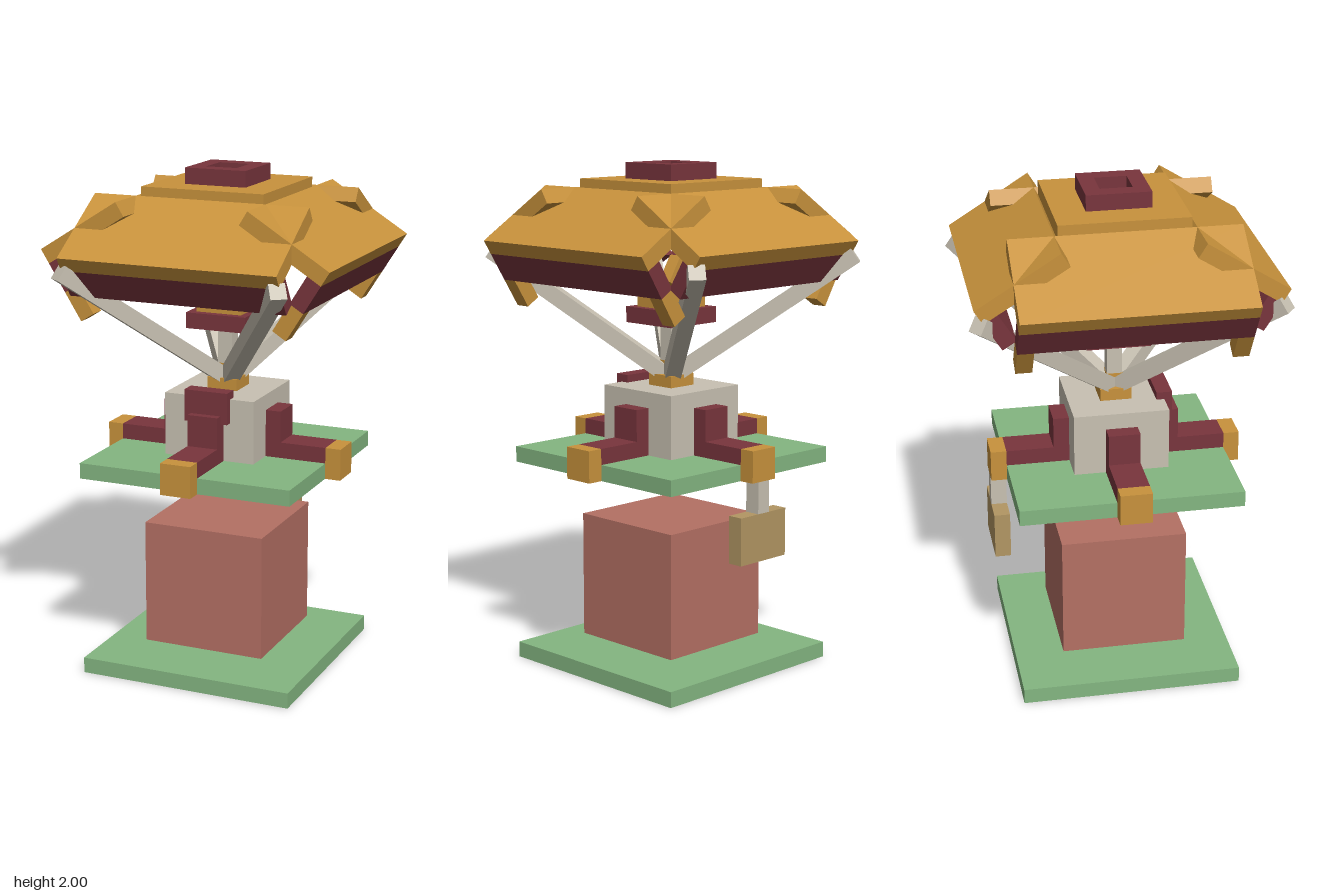
import * as THREE from 'three';

const mat = (name, color) => {
  const m = new THREE.MeshStandardMaterial({ color });
  m.name = name;
  return m;
};

export function createModel() {
  const model = new THREE.Group();
  model.name = 'roofedStand';
  const orange = mat('orange', 0xc8923c);
  const maroon = mat('maroon', 0x79353d);
  const green = mat('green', 0x84b681);
  const red = mat('dusty red', 0xb47064);
  const stone = mat('pale stone', 0xc8c1b2);
  const tan = mat('tan', 0xb29663);

  // Box given by its size and centre
  const box = (parent, name, m, [w, h, d], [x, y, z]) => {
    const mesh = new THREE.Mesh(new THREE.BoxGeometry(w, h, d), m);
    mesh.name = name;
    mesh.position.set(x, y, z);
    parent.add(mesh);
    return mesh;
  };
  // Square block centred on the vertical axis
  const block = (name, m, w, y0, y1) =>
    box(model, name, m, [w, y1 - y0, w], [0, (y0 + y1) / 2, 0]);

  // Central stack
  block('basePlate', green, 0.875, 0, 0.0625);
  block('lowerCube', red, 0.5, 0.1, 0.6);
  block('middlePlate', green, 0.875, 0.8125, 0.875);
  block('core', stone, 0.375, 0.875, 1.125);
  block('collar', orange, 0.125, 1.125, 1.172);
  block('collarTop', orange, 0.0625, 1.172, 1.225);
  block('stem', stone, 0.06, 1.225, 1.375);
  block('lampBase', maroon, 0.25, 1.375, 1.4375);
  block('lampTop', orange, 0.1875, 1.4375, 1.5);

  // Block on the front of the core, and the sign hanging at the back
  box(model, 'frontBlock', maroon, [0.18, 0.125, 0.0625], [0, 1.0925, 0.1875]);
  box(model, 'signHanger', stone, [0.06, 0.125, 0.0625], [0, 0.75, -0.46875]);
  box(model, 'sign', tan, [0.25, 0.1875, 0.0625], [0, 0.594, -0.46875]);

  const slope = THREE.MathUtils.degToRad(32);
  for (let i = 0; i < 4; i++) {
    const side = new THREE.Group();
    side.name = 'side' + (i + 1);
    side.rotation.y = i * Math.PI / 2;
    model.add(side);

    // L-shaped arm with its end cap
    box(side, 'armPost', maroon, [0.125, 0.1875, 0.0625], [0, 0.96875, 0.21875]);
    box(side, 'arm', maroon, [0.125, 0.0625, 0.1875], [0, 0.90625, 0.34375]);
    box(side, 'armCap', orange, [0.125, 0.125, 0.0625], [0, 0.875, 0.46875]);

    // Sloping roof panel and skirt, hung from the upper outer edge
    const roof = new THREE.Group();
    roof.name = 'roofSide';
    roof.position.set(0, 1.705, 0.583);
    roof.rotation.x = slope;
    side.add(roof);
    box(roof, 'roofPanel', orange, [0.875, 0.0625, 0.375], [0, -0.03125, -0.1875]);
    box(roof, 'roofSkirt', maroon, [0.875, 0.125, 0.0625], [0, -0.125, -0.03125]);
    // Clips below the skirt on the left and right only
    if (i % 2) for (const s of [-1, 1])
      box(roof, 'skirtClip', orange, [0.0625, 0.125, 0.0625], [s * 0.40625, -0.25, -0.03125]);
  }

  // Slanted struts to the roof corners
  for (const sx of [-1, 1]) for (const sz of [-1, 1]) {
    const start = new THREE.Vector3(0, 1.157, 0);
    const tip = new THREE.Vector3(sx * 0.438, 1.65, sz * 0.569);
    const mid = start.clone().lerp(tip, 0.5);
    const strut = box(model, 'strut', stone, [0.0625, 0.0625, start.distanceTo(tip)], mid.toArray());
    strut.lookAt(tip);
  }

  // Roof cap with a square open ring
  block('roofCap', orange, 0.5, 1.875, 1.9375);
  const square = (path, r) =>
    path.setFromPoints([[-r, -r], [r, -r], [r, r], [-r, r]].map(p => new THREE.Vector2(...p)));
  const outline = square(new THREE.Shape(), 0.125);
  outline.holes.push(square(new THREE.Path(), 0.0625));
  const ring = new THREE.Mesh(
    new THREE.ExtrudeGeometry(outline, { depth: 0.0625, bevelEnabled: false }), maroon);
  ring.name = 'roofRing';
  ring.rotation.x = -Math.PI / 2;
  ring.position.y = 1.9375;
  model.add(ring);

  return model;
}
